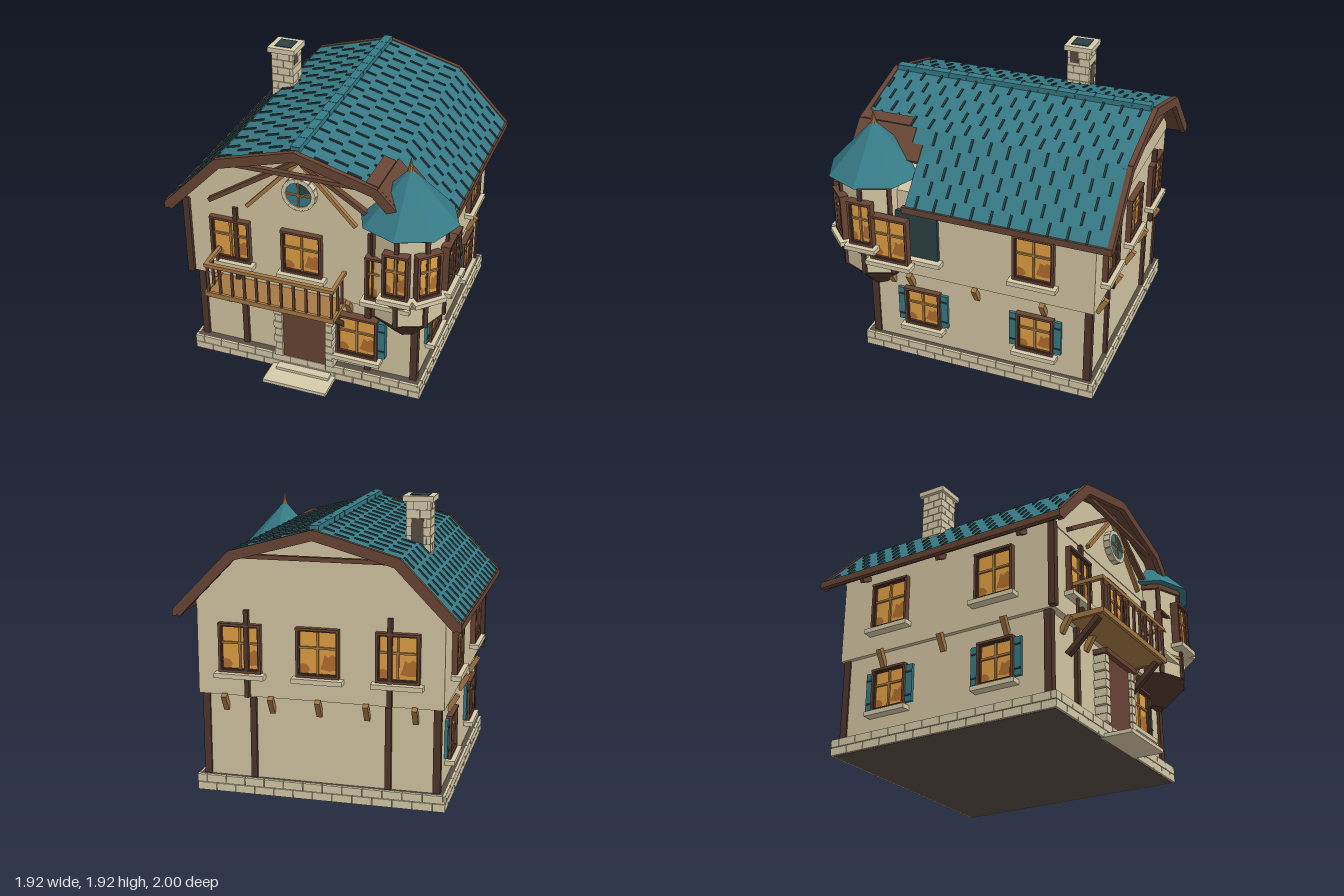
import * as THREE from 'three';
import { mergeGeometries } from 'three/addons/utils/BufferGeometryUtils.js';

const mat = (name, color) => {
  const m = new THREE.MeshStandardMaterial({ color });
  m.name = name;
  return m;
};

export function createModel() {
  const plaster = mat('plaster', 0xd4c6a2), stone = mat('stone', 0xd6caa9);
  const dark = mat('dark slate', 0x2b4044), grout = mat('grout', 0x574d44);
  const darkWood = mat('dark wood', 0x50362b), wood = mat('brown wood', 0x674535), lightWood = mat('light wood', 0xa67945);
  const glass = mat('amber glass', 0xe2a044), curtain = mat('curtain', 0xb46f2f), teal = mat('teal', 0x367a86);
  const house = new THREE.Group();
  house.name = 'house';

  // ---- helpers ----
  const box = (x0, x1, y0, y1, z0, z1) => new THREE.BoxGeometry(x1 - x0, y1 - y0, z1 - z0)
    .translate((x0 + x1) / 2, (y0 + y1) / 2, (z0 + z1) / 2);
  const add = (parent, name, material, ...geos) => {
    const mesh = new THREE.Mesh(geos.length > 1 ? mergeGeometries(geos) : geos[0], material);
    mesh.name = name;
    parent.add(mesh);
  };
  const group = (parent, name, x = 0, y = 0, z = 0, ry = 0) => {
    const g = new THREE.Group();
    g.name = name;
    g.position.set(x, y, z);
    g.rotation.y = ry;
    parent.add(g);
    return g;
  };
  const beam = (p, q, w, d) => {
    const a = new THREE.Vector3(...p), b = new THREE.Vector3(...q), dir = b.clone().sub(a);
    const g = new THREE.BoxGeometry(w, dir.length(), d);
    g.applyQuaternion(new THREE.Quaternion().setFromUnitVectors(new THREE.Vector3(0, 1, 0), dir.normalize()));
    return g.translate(...a.add(b).multiplyScalar(0.5).toArray());
  };
  const facet = (rTop, rBottom, y0, y1, sides = 8) => {
    const g = new THREE.CylinderGeometry(rTop, rBottom, y1 - y0, sides).toNonIndexed();
    g.computeVertexNormals();
    return g.translate(0, (y0 + y1) / 2, 0);
  };
  const outline = points => new THREE.Shape(points.map(p => new THREE.Vector2(...p)));
  // staggered stone blocks on a face looking along +z
  const courses = (len, y0, rows, rowH, blockW, z0, z1) => {
    const out = [];
    for (let r = 0; r < rows; r++) {
      for (let x = -len / 2 - (r % 2) * blockW / 2; x < len / 2 - 0.01; x += blockW) {
        const a = Math.max(x, -len / 2), b = Math.min(x + blockW, len / 2);
        out.push(box(a + 0.002, b - 0.002, y0 + r * rowH + 0.002, y0 + (r + 1) * rowH - 0.002, z0, z1));
      }
    }
    return out;
  };
  const R = Math.PI / 2;

  // ---- stone base and walls ----
  add(house, 'foundationCore', grout, box(-0.855, 0.755, 0, 0.105, -0.875, 0.755));
  for (const [x, z, ry, len] of [[-0.05, 0.755, 0, 1.64], [-0.05, -0.875, Math.PI, 1.64],
    [0.755, -0.06, R, 1.66], [-0.855, -0.06, -R, 1.66]]) {
    add(group(house, 'foundationSide', x, 0, z, ry), 'foundationStones', stone, ...courses(len, 0, 2, 0.055, 0.13, 0, 0.015));
  }
  add(house, 'lowerWalls', plaster, box(-0.82, 0.72, 0.1, 0.67, -0.84, 0.7));
  add(house, 'upperWalls', plaster, box(-0.85, 0.75, 0.66, 1.23, -0.87, 0.75));
  const gable = outline([[-0.85, 1.23], [0.75, 1.23], [0.75, 1.29], [0.465, 1.575], [-0.05, 1.725], [-0.565, 1.575], [-0.85, 1.29]]);
  add(house, 'gableWalls', plaster, new THREE.ExtrudeGeometry(gable, { depth: 1.632, bevelEnabled: false }).translate(0, 0, -0.876));

  // ---- timber posts ----
  const posts = [];
  for (const x of [-0.807, 0.707]) for (const z of [0.695, -0.83]) posts.push(box(x - 0.024, x + 0.024, 0.11, 0.66, z - 0.025, z + 0.025));
  for (const x of [-0.497, 0.387]) posts.push(box(x - 0.02, x + 0.02, 0.11, 0.66, 0.69, 0.725), box(x - 0.02, x + 0.02, 0.11, 0.66, -0.865, -0.83));
  for (const x of [-0.51, 0.415]) posts.push(box(x - 0.015, x + 0.015, 0.66, 1.23, 0.74, 0.775), box(x - 0.015, x + 0.015, 0.66, 1.23, -0.905, -0.86));
  posts.push(box(-0.88, -0.835, 0.66, 1.24, 0.73, 0.775));
  add(house, 'timberPosts', darkWood, ...posts);

  // slanted corbels under the upper floor
  const corbels = (x, z, ry, list) => add(group(house, 'corbelRow', x, 0, z, ry), 'corbels', lightWood,
    ...list.map(u => beam([u, 0.56, 0], [u, 0.665, 0.06], 0.035, 0.035)));
  corbels(-0.05, 0.7, 0, [-0.62, -0.31, 0.31]);
  corbels(-0.05, -0.84, Math.PI, [-0.62, -0.31, 0, 0.31, 0.62]);
  corbels(0.72, -0.06, R, [-0.61, -0.47, 0, 0.47]);
  corbels(-0.82, -0.06, -R, [-0.47, 0, 0.47]);

  // ---- windows ----
  const patches = [
    outline([[0.06, 0.12], [0.3, 0.08], [0.5, 0.1], [0.5, 0.42], [0.4, 0.48], [0.3, 0.4], [0.18, 0.46], [0.14, 0.28]]),
    outline([[-0.5, 0.02], [-0.3, 0], [-0.22, 0.1], [-0.3, 0.2], [-0.42, 0.24], [-0.5, 0.2]]),
  ];
  const makeWindow = (x, y, z, ry, w, h, shutters = []) => {
    const g = group(house, 'window', x, y, z, ry), a = w / 2, b = h / 2, f = 0.024;
    const frame = (a, b, f, z) => [box(-a, -a + f, -b, b, -0.02, z), box(a - f, a, -b, b, -0.02, z),
      box(-a, a, b - f, b, -0.02, z + 0.004), box(-a, a, -b, -b + f, -0.02, z)];
    add(g, 'windowFrame', wood, ...frame(a, b, 0.016, 0.036));
    add(g, 'windowLining', darkWood, ...frame(a - 0.014, b - 0.014, f - 0.014, 0.026));
    add(g, 'windowPane', glass, box(-a + f, a - f, -b + f, b - f, 0.002, 0.01));
    add(g, 'curtainPatches', curtain, new THREE.ShapeGeometry(patches).scale(w - 2 * f, h - 2 * f, 1).translate(0, -b + f, 0.012));
    add(g, 'windowBars', lightWood, box(-0.007, 0.007, -b + f, b - f, 0.005, 0.022), box(-a + f, a - f, 0.025, 0.039, 0.005, 0.022));
    add(g, 'windowSill', stone, box(-a - 0.025, a + 0.025, -b - 0.035, -b - 0.004, -0.02, 0.065));
    for (const s of shutters) {
      const m = s * (a + 0.026);
      add(g, 'shutter', teal, box(m - 0.025, m + 0.025, -b + 0.02, b - 0.015, -0.02, 0.02));
      add(g, 'shutterHinges', dark, ...[-0.08, 0.08].map(v => box(m - 0.022, m + 0.022, v - 0.006, v + 0.006, 0.018, 0.025)));
    }
  };
  for (const x of [-0.55, -0.05]) makeWindow(x, 0.98, 0.75, 0, 0.28, 0.32);
  for (const x of [-0.56, -0.05, 0.46]) makeWindow(x, 0.98, -0.87, Math.PI, 0.28, 0.32);
  makeWindow(0.318, 0.385, 0.72, 0, 0.29, 0.32, [1]);
  for (const z of [-0.47, 0.335]) {
    makeWindow(0.72, 0.395, z, R, 0.26, 0.29, [-1, 1]);
    makeWindow(-0.82, 0.395, z, -R, 0.26, 0.29, [-1, 1]);
    makeWindow(-0.85, 0.985, z, -R, 0.28, 0.33);
  }
  makeWindow(0.75, 0.985, -0.465, R, 0.28, 0.33);
  // projecting windows either side of the turret
  makeWindow(0.56, 0.98, 0.855, 0, 0.28, 0.32);
  makeWindow(0.862, 0.985, 0.49, R, 0.27, 0.33);
  add(house, 'darkPane', dark, box(0.745, 0.775, 0.82, 1.15, 0.195, 0.49));
  add(house, 'darkPaneSill', stone, box(0.74, 0.815, 0.785, 0.816, 0.17, 0.49));

  // ---- door and steps ----
  add(house, 'door', wood, box(-0.205, 0.115, 0.04, 0.575, 0.68, 0.765));
  add(house, 'doorLintel', wood, box(-0.26, 0.165, 0.575, 0.61, 0.68, 0.8));
  const quoins = [];
  for (let i = 0; i < 8; i++) {
    const y = 0.11 + i * 0.058, w = i % 2 ? 0.045 : 0.055;
    quoins.push(box(-0.205 - w, -0.2, y + 0.003, y + 0.055, 0.69, 0.785), box(0.11, 0.112 + w, y + 0.003, y + 0.055, 0.69, 0.785));
  }
  add(house, 'doorStones', stone, ...quoins);
  add(house, 'doorSteps', stone, box(-0.28, 0.175, 0, 0.025, 0.74, 0.96), box(-0.235, 0.145, 0.025, 0.045, 0.74, 0.83));

  // ---- balcony ----
  add(house, 'balconyFloor', lightWood, box(-0.645, 0.24, 0.65, 0.672, 0.74, 0.97));
  add(house, 'balconyEdges', lightWood, box(-0.655, 0.25, 0.645, 0.68, 0.965, 0.985),
    box(-0.655, -0.635, 0.645, 0.68, 0.74, 0.985), box(0.23, 0.25, 0.645, 0.68, 0.74, 0.985));
  add(house, 'balconyRail', lightWood, box(-0.65, 0.25, 0.875, 0.9, 0.955, 0.985),
    box(-0.65, -0.625, 0.875, 0.9, 0.74, 0.96), box(0.225, 0.25, 0.875, 0.9, 0.74, 0.96));
  const balusters = [];
  for (let i = 0; i < 11; i++) balusters.push(box(-0.638 + i * 0.086, -0.622 + i * 0.086, 0.67, 0.88, 0.962, 0.978));
  for (const x of [-0.638, 0.238]) for (const z of [0.8, 0.88]) balusters.push(box(x - 0.008, x + 0.008, 0.67, 0.88, z - 0.008, z + 0.008));
  add(house, 'balusters', wood, ...balusters);
  add(house, 'balconyBraces', darkWood, ...[-0.607, 0.207].map(x => beam([x, 0.44, 0.71], [x, 0.645, 0.93], 0.038, 0.035)));

  // ---- roof ----
  const profile = [[-0.96, 1.23], [-0.585, 1.615], [-0.05, 1.765], [0.485, 1.615], [0.86, 1.23]];
  const slab = (a, b, z0, z1, thick, lift) => {
    const dx = b[0] - a[0], dy = b[1] - a[1], len = Math.hypot(dx, dy), o = lift - thick / 2;
    return new THREE.BoxGeometry(len, thick, z1 - z0).rotateZ(Math.atan2(dy, dx))
      .translate((a[0] + b[0]) / 2 - dy / len * o, (a[1] + b[1]) / 2 + dx / len * o, (z0 + z1) / 2);
  };
  const tiles = [], sheathing = [], verge = [], gaps = [];
  const at = (a, b, t) => [a[0] + (b[0] - a[0]) * t, a[1] + (b[1] - a[1]) * t];
  for (let i = 0; i < 4; i++) {
    const a = profile[i], b = profile[i + 1], front = i === 3 ? 0.38 : 0.84;
    tiles.push(slab(a, b, -0.97, front, 0.02, 0));
    sheathing.push(slab(a, b, -0.97, front, 0.03, -0.019));
    verge.push(slab(a, b, -1, -0.965, 0.065, 0.006), slab(a, i === 3 ? at(a, b, 0.33) : b, 0.83, 0.865, 0.065, 0.006));
    for (let c = 0; c < 5; c++) {
      for (let z = -0.9 + (c + (i % 2)) % 2 * 0.0635; z < front - 0.02; z += 0.127) {
        gaps.push(slab(at(a, b, c / 5 + 0.02), at(a, b, c / 5 + 0.185), z - 0.007, z + 0.007, 0.014, 0.009));
      }
    }
  }
  // stepped boarding beside the turret
  const [knee, eave] = [profile[3], profile[4]];
  tiles.push(slab(knee, at(knee, eave, 0.2), 0.37, 0.46, 0.02, 0));
  sheathing.push(slab(knee, at(knee, eave, 0.2), 0.45, 0.84, 0.045, 0.007),
    slab(at(knee, eave, 0.2), at(knee, eave, 0.42), 0.375, 0.84, 0.045, 0.007),
    slab(at(profile[2], knee, 0.85), knee, 0.5, 0.84, 0.02, 0.011));
  add(house, 'roofTiles', teal, ...tiles);
  add(house, 'roofBoarding', wood, ...sheathing);
  add(house, 'vergeBoards', wood, ...verge);
  add(house, 'tileGaps', dark, ...gaps);
  add(house, 'eaveBoards', wood, box(-0.965, -0.935, 1.195, 1.24, -1, 0.865), box(0.835, 0.865, 1.195, 1.24, -1, 0.4));
  const caps = [box(-0.078, -0.022, 1.755, 1.789, -0.96, 0.83)];
  for (let i = 0; i < 14; i++) caps.push(box(-0.08, -0.02, 1.755, 1.793, -0.96 + i * 0.128, -0.836 + i * 0.128));
  add(house, 'ridgeCaps', teal, ...caps);
  const tails = [];
  for (const z of [-0.67, -0.06, 0.55]) {
    tails.push(beam([-0.84, 1.23, z], [-0.93, 1.18, z], 0.03, 0.03));
    if (z < 0.5) tails.push(beam([0.74, 1.23, z], [0.83, 1.18, z], 0.03, 0.03));
  }
  add(house, 'rafterTails', wood, ...tails);

  // ---- gable timbers and round window ----
  add(house, 'collarBeams', wood, box(-0.6, 0.5, 1.573, 1.6, 0.8, 0.835), box(-0.6, 0.5, 1.573, 1.6, -0.975, -0.94));
  add(house, 'longBraces', wood, ...[-1, 1].map(s => beam([-0.05, 1.67, 0.77], [-0.05 + s * 0.63, 1.265, 0.77], 0.028, 0.05)));
  add(house, 'shortBraces', lightWood, ...[-1, 1].map(s => beam([-0.05, 1.66, 0.765], [-0.05 + s * 0.37, 1.265, 0.765], 0.024, 0.035)));
  const round = group(house, 'roundWindow', -0.05, 1.435, 0.75);
  const ring = [];
  for (let i = 0; i < 14; i++) ring.push(new THREE.BoxGeometry(0.045, 0.027, 0.06).translate(0, 0.099, 0.02).rotateZ(i * Math.PI / 7));
  add(round, 'stoneRing', stone, ...ring);
  add(round, 'roundPane', teal, new THREE.CircleGeometry(0.092, 24).translate(0, 0, 0.042));
  add(round, 'darkQuarter', dark, new THREE.CircleGeometry(0.09, 10, 0.3, 1.5).translate(0, 0, 0.045));
  add(round, 'roundBars', lightWood, box(-0.005, 0.005, -0.09, 0.09, 0.04, 0.055), box(-0.09, 0.09, -0.005, 0.005, 0.04, 0.055));

  // ---- chimney ----
  const chimney = group(house, 'chimney', -0.58, 0, -0.31);
  add(chimney, 'chimneyCore', grout, box(-0.074, 0.074, 1.4, 1.89, -0.074, 0.074),
    box(0.07, 0.083, 1.79, 1.875, 0, 0.06), box(-0.035, 0.045, 1.6, 1.77, -0.083, -0.07));
  add(chimney, 'flue', dark, box(-0.061, 0.061, 1.85, 1.92, -0.061, 0.061));
  for (let i = 0; i < 4; i++) {
    add(group(chimney, 'chimneySide', 0, 0, 0, i * R), 'chimneyStones', stone, ...courses(0.16, 1.44, 8, 0.055, 0.09, 0.07, 0.08),
      box(-0.1, 0.1, 1.88, 1.915, 0.06, 0.1));
  }

  // ---- corner turret ----
  const turret = group(house, 'turret', 0.638, 0, 0.68);
  add(turret, 'turretWall', plaster, facet(0.245, 0.245, 0.68, 1.34));
  add(turret, 'turretFoot', darkWood, facet(0.255, 0.085, 0.505, 0.685));
  add(turret, 'turretBand', lightWood, facet(0.256, 0.256, 0.825, 0.845));
  add(turret, 'turretPlate', wood, facet(0.265, 0.265, 1.325, 1.366));
  add(turret, 'turretRoof', teal, facet(0, 0.32, 1.36, 1.705));
  add(turret, 'finial', lightWood, facet(0, 0.022, 1.68, 1.78));
  const turretPosts = [];
  for (let i = 0; i < 8; i++) turretPosts.push(box(-0.014, 0.014, 0.68, 1.34, 0.23, 0.258).rotateY(i * Math.PI / 4));
  add(turret, 'turretPosts', darkWood, ...turretPosts);
  for (const a of [0, Math.PI / 4, R]) makeWindow(0.638 + Math.sin(a) * 0.25, 1.08, 0.675 + Math.cos(a) * 0.25, a, 0.17, 0.32);
  return house;
}
